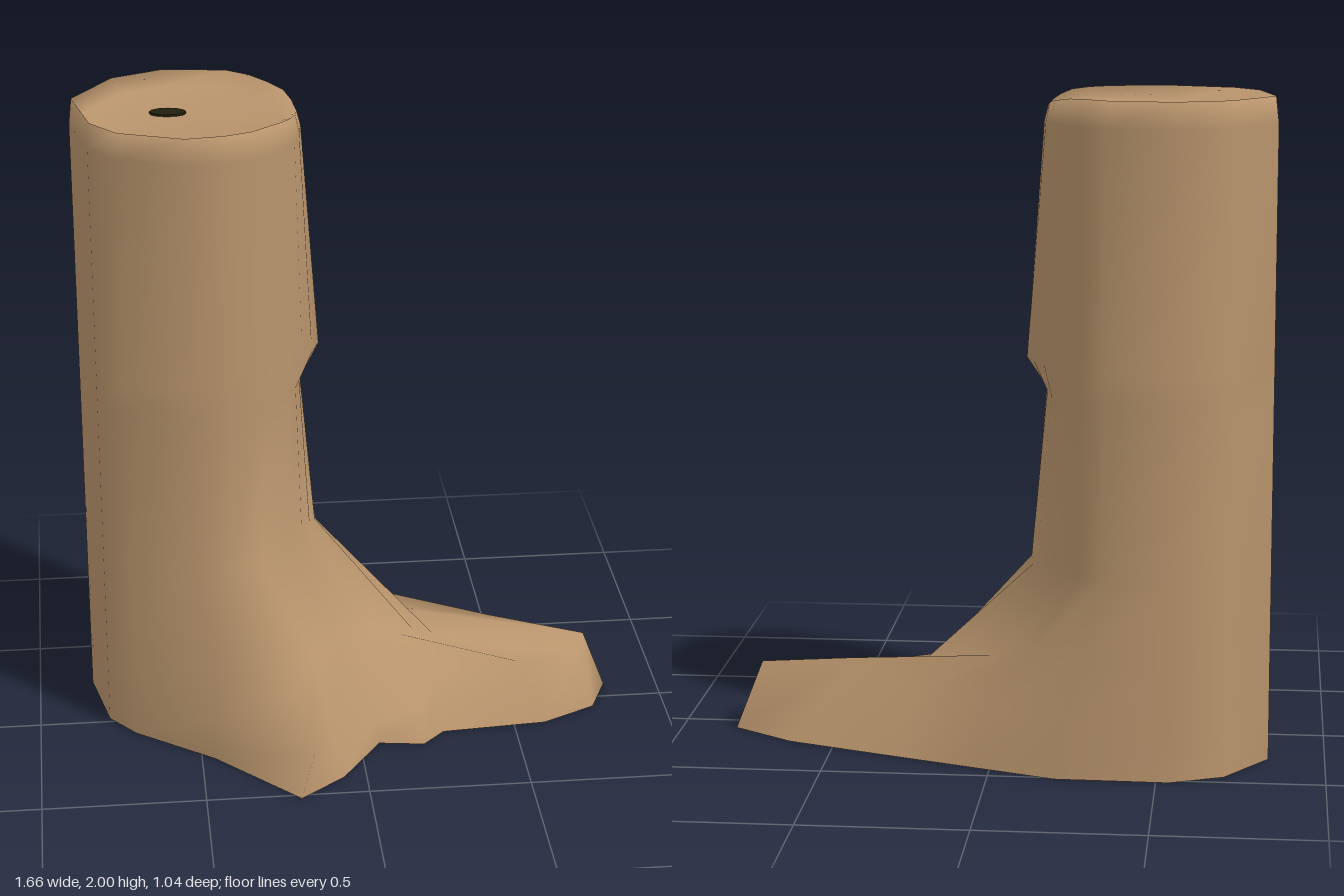
import * as THREE from 'three';

// Heel side of the leg: straight vertical columns [x, z]
const heelEnd = [[-0.70, 0.08], [-0.78, -0.02], [-0.83, -0.26], [-0.70, -0.45], [-0.54, -0.52]];

// Foot side, back to front: sole [x, z], toe edge [x, y, z], instep [x, y, z], leg [x, z]
const footColumns = [
  [[-0.20, -0.515], [-0.22, 0.17, -0.51], [-0.28, 0.36, -0.50], [-0.34, -0.495]],
  [[0.05, -0.425], [0.02, 0.17, -0.38], [-0.13, 0.36, -0.38], [-0.27, -0.44]],
  [[0.30, -0.335], [0.25, 0.17, -0.25], [0.00, 0.31, -0.28], [-0.22, -0.38]],
  [[0.64, -0.21], [0.45, 0.25, -0.13], [0.15, 0.26, -0.19], [-0.17, -0.32]],
  [[0.83, -0.08], [0.75, 0.21, -0.05], [0.27, 0.205, -0.10], [-0.15, -0.25]],
  [[0.77, 0.06], [0.71, 0.18, 0.03], [0.22, 0.22, -0.06], [-0.14, -0.18]],
  [[0.60, 0.145], [0.55, 0.17, 0.06], [0.15, 0.25, -0.03], [-0.15, -0.11]],
  [[0.27, 0.17], [0.27, 0.14, 0.05], [0.06, 0.28, 0.00], [-0.17, -0.04]],
  [[0.20, 0.24], [0.20, 0.11, 0.21], [0.00, 0.31, 0.05], [-0.20, 0.02]],
  [[0.06, 0.22], [0.05, 0.07, 0.21], [-0.06, 0.32, 0.10], [-0.25, 0.07]],
  [[-0.07, 0.41], [-0.10, 0.12, 0.37], [-0.14, 0.31, 0.20], [-0.30, 0.11]],
  [[-0.21, 0.52], [-0.17, 0.15, 0.51], [-0.22, 0.26, 0.32], [-0.38, 0.14]],
  [[-0.46, 0.26], [-0.45, 0.14, 0.26], [-0.44, 0.32, 0.22], [-0.50, 0.155]],
];

const centre = [-0.53, -0.21];

function buildColumns() {
  const columns = [
    ...heelEnd.map((p) => [p, [p[0], 0.15, p[1]], [p[0], 0.34, p[1]], p]),
    ...footColumns,
  ];
  return columns.map(([sole, toe, instep, leg]) => {
    const [x, z] = leg;
    // 1 at the shin facing +x, 0 elsewhere
    const shin = Math.max(0, 1 - Math.abs(z + 0.18) / 0.22) * (x > -0.3 ? 1 : 0);
    const inward = (t, y) => [x + (centre[0] - x) * t, y, z + (centre[1] - z) * t];
    return [
      [sole[0], 0, sole[1]],
      toe,
      instep,
      [x + 0.035 * shin, 0.6, z],
      [x - 0.01 * shin, 1.12, z],
      [x + 0.05 * shin, 1.21, z],
      [x, 1.92, z],
      // rim dips on the shin side
      inward(0.03, 2 - 0.035 * shin),
      inward(0.14, 1.955),
    ];
  });
}

// Smooth skin lofted up the columns and closed by a shallow cap
function skinGeometry(columns) {
  const n = columns.length;
  const rings = columns[0].length;
  const positions = [];
  const index = [];
  for (let r = 0; r < rings; r++) {
    for (const column of columns) positions.push(...column[r]);
  }
  positions.push(centre[0], 1.96, centre[1]);
  for (let r = 0; r < rings; r++) {
    for (let i = 0; i < n; i++) {
      const a = r * n + i;
      const b = r * n + ((i + 1) % n);
      if (r < rings - 1) index.push(a, a + n, b, b, a + n, b + n);
      else index.push(a, rings * n, b);
    }
  }
  const geometry = new THREE.BufferGeometry();
  geometry.setAttribute('position', new THREE.Float32BufferAttribute(positions, 3));
  geometry.setIndex(index);
  geometry.computeVertexNormals();
  return geometry;
}

export function createModel() {
  const group = new THREE.Group();
  group.name = 'legAndFoot';
  const skin = new THREE.MeshStandardMaterial({ color: 0xb8946c });
  skin.name = 'tan';
  const dark = new THREE.MeshStandardMaterial({ color: 0x22200f });
  dark.name = 'darkOlive';

  const add = (name, geometry, material) => {
    const mesh = new THREE.Mesh(geometry, material);
    mesh.name = name;
    group.add(mesh);
    return mesh;
  };

  const columns = buildColumns();
  add('legAndFootSkin', skinGeometry(columns), skin);

  // Flat sole, facing down
  const outline = new THREE.Shape(columns.map(([p]) => new THREE.Vector2(p[0], p[2])));
  add('sole', new THREE.ShapeGeometry(outline).rotateX(Math.PI / 2), skin);

  // Small dark oval in the middle of the top
  const spot = add('topSpot', new THREE.CylinderGeometry(0.055, 0.055, 0.008, 12), dark);
  spot.scale.z = 0.6;
  spot.rotation.y = -0.1;
  spot.position.set(-0.535, 1.962, centre[1]);

  return group;
}
